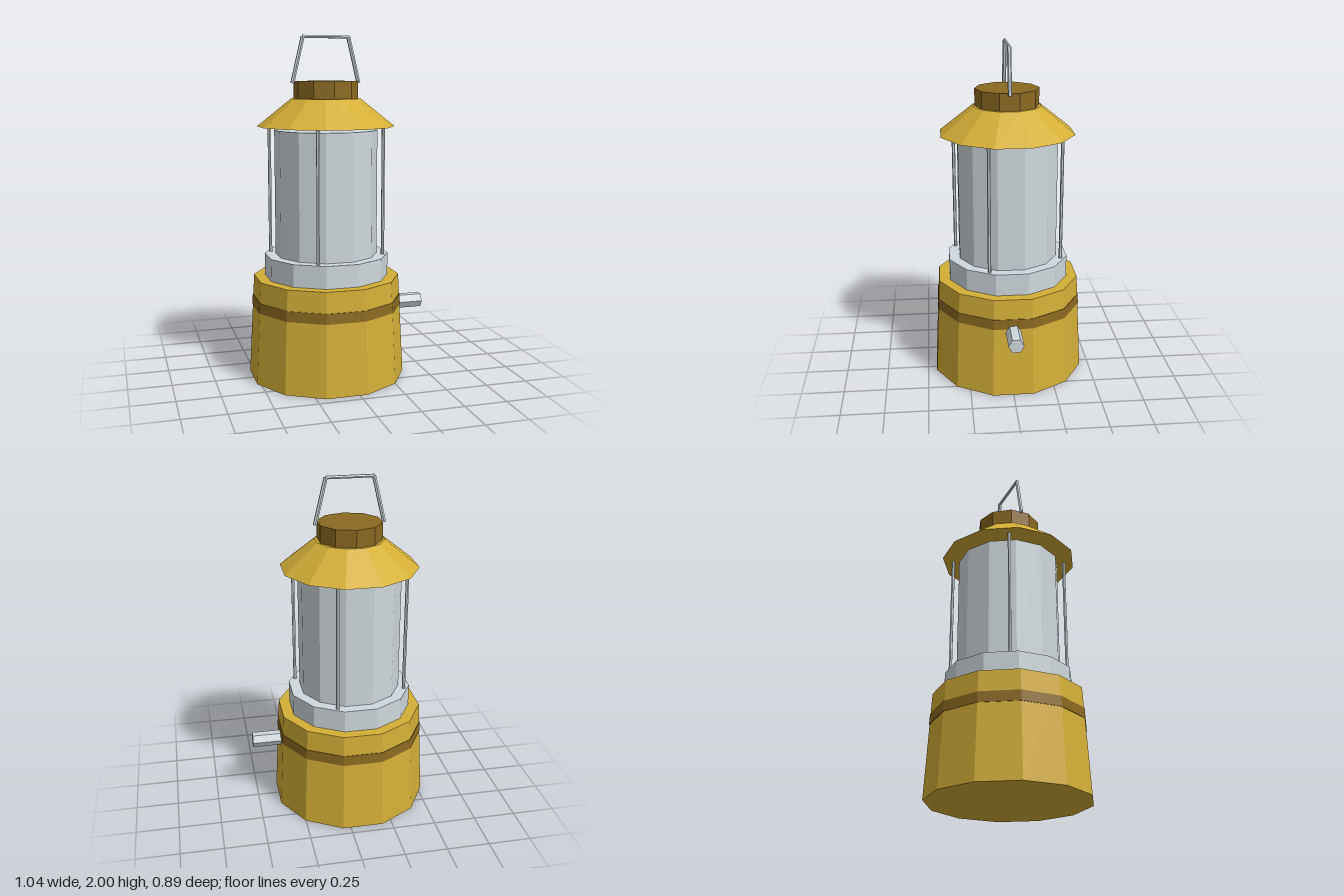
import * as THREE from 'three';

const mat = (name, color) => {
  const m = new THREE.MeshStandardMaterial({ color, flatShading: true });
  m.name = name;
  return m;
};

export function createModel() {
  const gold = mat('gold', 0xd4af37);
  const bronze = mat('dark bronze', 0x8b6920);
  const steel = mat('pale steel', 0xcfd8dc);

  const model = new THREE.Group();
  model.name = 'lantern';
  const body = new THREE.Group();
  body.name = 'lanternBody';
  body.position.x = -0.075; // the side knob shifts the body off centre
  model.add(body);

  // Upright prism between two heights; turn rotates a flat face to the front
  const prism = (name, material, rBottom, rTop, y0, y1, sides = 12, turn = Math.PI / 12) => {
    const mesh = new THREE.Mesh(new THREE.CylinderGeometry(rTop, rBottom, y1 - y0, sides), material);
    mesh.name = name;
    mesh.position.y = (y0 + y1) / 2;
    mesh.rotation.y = turn;
    body.add(mesh);
    return mesh;
  };

  // Thin rod between two points
  const rod = (name, a, b, radius) => {
    const from = new THREE.Vector3(...a), to = new THREE.Vector3(...b);
    const dir = to.clone().sub(from);
    const mesh = new THREE.Mesh(new THREE.CylinderGeometry(radius, radius, dir.length(), 6), steel);
    mesh.name = name;
    mesh.position.copy(from).add(to).multiplyScalar(0.5);
    mesh.quaternion.setFromUnitVectors(new THREE.Vector3(0, 1, 0), dir.normalize());
    body.add(mesh);
  };

  // Stacked body
  prism('base', gold, 0.463, 0.43, 0, 0.6);
  prism('baseBand', bronze, 0.443, 0.44, 0.42, 0.48);
  prism('collar', steel, 0.365, 0.365, 0.6, 0.73);
  prism('globe', steel, 0.3, 0.3, 0.73, 1.46);
  prism('roof', gold, 0.4, 0.2, 1.48, 1.64);
  prism('cap', bronze, 0.187, 0.187, 1.64, 1.74, 10, 0);

  // Four guard posts around the globe
  for (let i = 0; i < 4; i++) {
    const a = Math.PI / 8 - i * Math.PI / 2;
    const x = 0.335 * Math.cos(a), z = 0.335 * Math.sin(a);
    rod('guardPost', [x, 0.72, z], [x, 1.485, z], 0.01);
  }

  // Carrying handle
  for (const s of [-1, 1]) rod('handleLeg', [s * 0.197, 1.728, 0], [s * 0.135, 1.99, 0], 0.012);
  rod('handleBar', [-0.138, 1.99, 0], [0.138, 1.99, 0], 0.01);

  // Hexagonal knob on the side
  const knob = new THREE.Mesh(new THREE.CylinderGeometry(0.045, 0.045, 0.2, 6), steel);
  knob.name = 'knob';
  knob.rotation.z = Math.PI / 2;
  knob.position.set(0.497, 0.4, 0);
  body.add(knob);

  return model;
}
